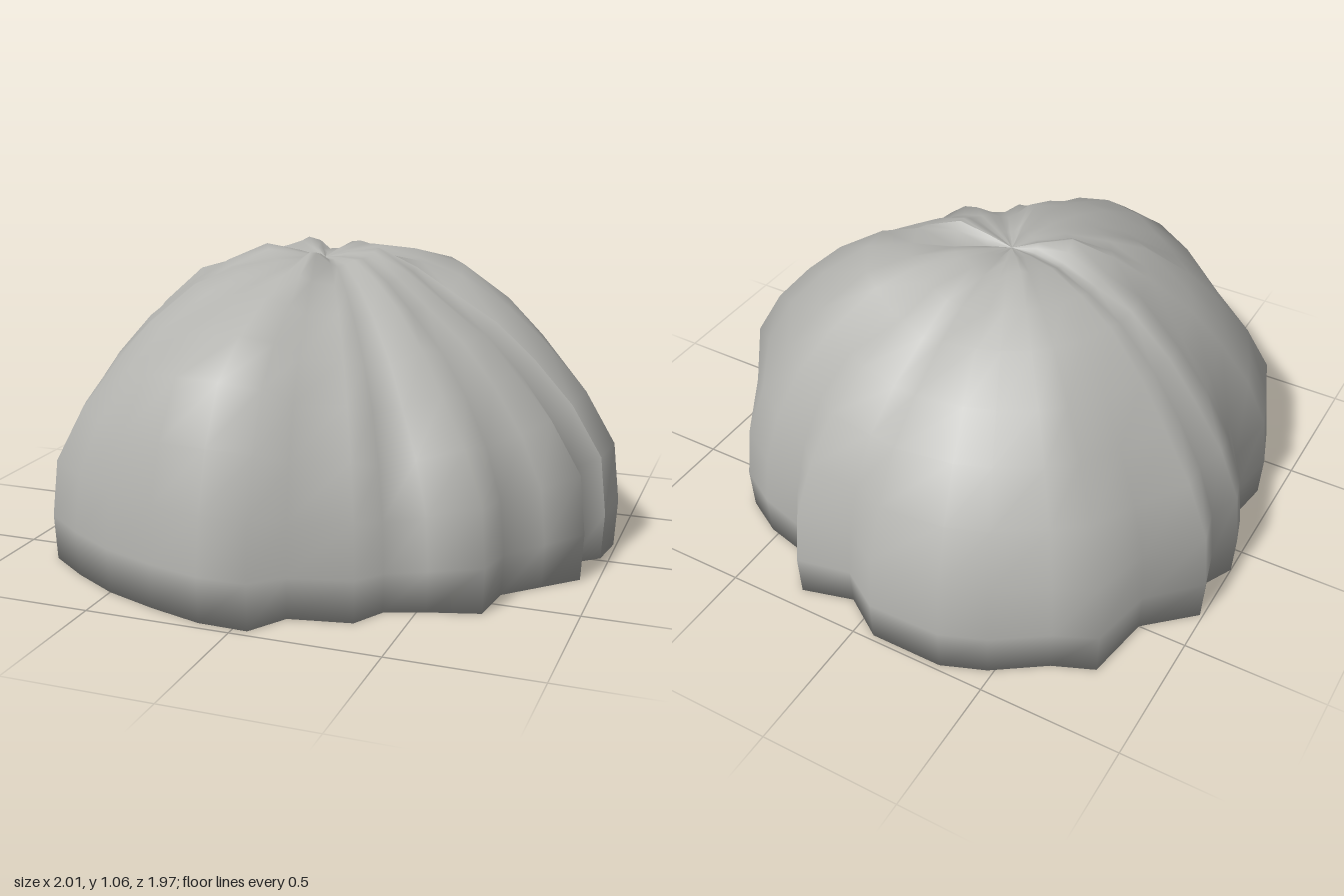
import * as THREE from 'three';

// Outline of the boulder on the ground (x, z), clockwise from +x seen from above
const outline = [
  [0.97, -0.02], [0.88, 0.06], [0.94, 0.2], [0.83, 0.31], [0.72, 0.42], [0.7, 0.59],
  [0.53, 0.64], [0.4, 0.69], [0.34, 0.8], [0.13, 0.84], [0.05, 0.97], [-0.12, 0.965],
  [-0.31, 0.91], [-0.5, 0.84], [-0.67, 0.74], [-0.82, 0.63], [-0.88, 0.48], [-0.93, 0.33],
  [-0.9, 0.13], [-0.97, 0], [-1, -0.1], [-0.95, -0.2], [-0.99, -0.35], [-0.83, -0.5],
  [-0.79, -0.74], [-0.65, -0.8], [-0.48, -0.92], [-0.33, -0.98], [-0.07, -0.98], [0.08, -0.88],
  [0.26, -0.93], [0.37, -0.78], [0.53, -0.74], [0.67, -0.66], [0.83, -0.4], [0.99, -0.17],
];
// Distance from the centre at the shoulder (42 degrees up) and the crown (63 degrees up)
const shoulder = [
  1.04, 0.99, 1.02, 0.99, 0.96, 0.99, 0.93, 0.94, 0.99, 0.99, 1.09, 1.11,
  1.1, 1.07, 1.04, 1.03, 1.01, 1.0, 0.97, 1.0, 1.0, 0.98, 1.02, 0.98,
  1.04, 1.04, 1.05, 1.05, 1.04, 0.99, 1.05, 1.0, 1.04, 1.06, 1.07, 1.08,
];
const crown = [
  1.03, 1.0, 1.02, 1.0, 0.99, 1.02, 0.98, 0.98, 1.01, 1.0, 1.04, 1.06,
  1.06, 1.03, 1.04, 1.06, 1.03, 1.04, 1.02, 1.06, 1.05, 1.03, 1.06, 1.04,
  1.05, 1.04, 1.04, 1.04, 1.03, 1.01, 1.05, 1.04, 1.08, 1.1, 1.1, 1.08,
];
const elevations = [0, 9, 20, 31, 42, 52, 63, 71, 79, 85, 90];
const CX = -0.06, CZ = -0.02;

// Smooth radius along one meridian through its few known distances
function radiusAt(deg, knots) {
  let k = 0;
  while (k < knots.length - 2 && deg > knots[k + 1][0]) k++;
  const [d0, r0] = knots[k], [d1, r1] = knots[k + 1];
  const t = (deg - d0) / (d1 - d0);
  return r0 + (r1 - r0) * t * t * (3 - 2 * t);
}

function boulderGeometry() {
  const n = outline.length, rows = elevations.length;
  const position = [], index = [];
  for (let i = 0; i <= n; i++) {
    const k = i % n;
    const dx = outline[k][0] - CX, dz = outline[k][1] - CZ;
    const base = Math.hypot(dx, dz), angle = Math.atan2(dz, dx);
    const lump = 1.05 + 0.02 * Math.sin(5 * angle + 0.6) + 0.012 * Math.cos(9 * angle);
    const knots = [[0, base], [20, base * 1.05], [42, shoulder[k]], [63, crown[k]], [79, lump], [90, 1.01]];
    for (const deg of elevations) {
      const e = THREE.MathUtils.degToRad(deg), r = radiusAt(deg, knots);
      const flat = r * Math.cos(e) / base;
      position.push(CX + dx * flat, r * Math.sin(e), CZ + dz * flat);
    }
  }
  // Dome faces and the flat underside fan, sharing the rim so it shades softly
  const centre = position.length / 3;
  position.push(CX, 0, CZ);
  for (let i = 0; i < n; i++) {
    const a = i * rows, b = a + rows;
    for (let j = 0; j < rows - 1; j++) {
      index.push(a + j, a + j + 1, b + j);
      if (j < rows - 2) index.push(b + j, a + j + 1, b + j + 1);
    }
    index.push(centre, a, b);
  }
  const geometry = new THREE.BufferGeometry();
  geometry.setAttribute('position', new THREE.Float32BufferAttribute(position, 3));
  geometry.setIndex(index);
  geometry.computeVertexNormals();
  return geometry;
}

export function createModel() {
  const stone = new THREE.MeshStandardMaterial({ color: 0xb4b4b0 });
  stone.name = 'stone grey';
  const boulder = new THREE.Mesh(boulderGeometry(), stone);
  boulder.name = 'boulder';
  const group = new THREE.Group();
  group.name = 'rock';
  group.add(boulder);
  return group;
}
